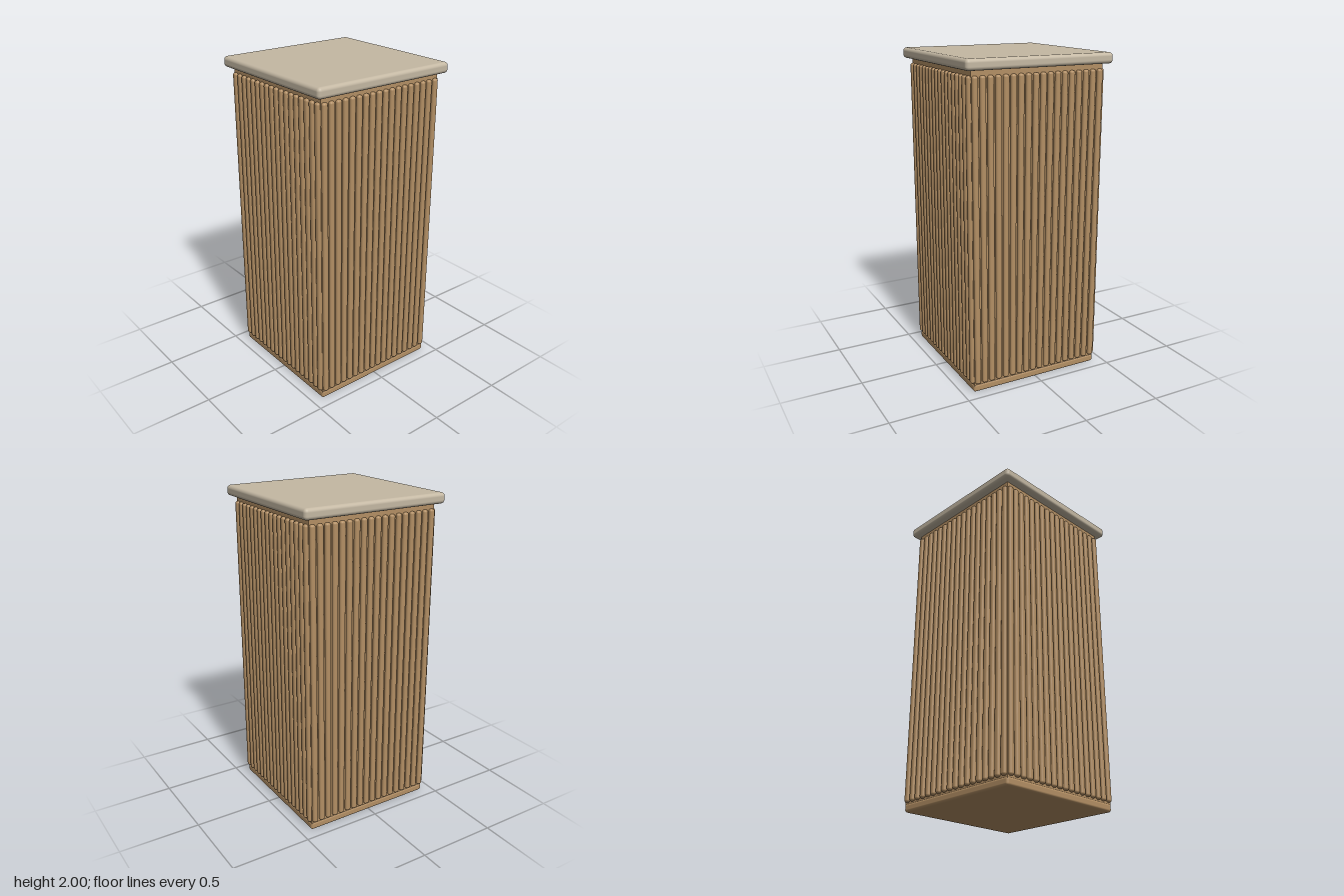
import * as THREE from 'three';
import { RoundedBoxGeometry } from 'three/addons/geometries/RoundedBoxGeometry.js';

export function createModel() {
  const model = new THREE.Group();
  model.name = 'flutedPedestal';

  const wood = new THREE.MeshStandardMaterial({ color: 0xb38f64 });
  wood.name = 'oak wood';
  const stone = new THREE.MeshStandardMaterial({ color: 0xc4b8a3 });
  stone.name = 'pale stone';

  const add = (parent, name, geometry, material, x, y, z) => {
    const mesh = new THREE.Mesh(geometry, material);
    mesh.name = name;
    mesh.position.set(x, y, z);
    parent.add(mesh);
    return mesh;
  };

  // Square slab from y0 to y1 with softened edges
  const slab = (name, width, y0, y1, radius, material) =>
    add(model, name, new RoundedBoxGeometry(width, y1 - y0, width, 4, radius),
      material, 0, (y0 + y1) / 2, 0);

  slab('plinth', 0.864, 0, 0.05, 0.015, wood);
  slab('topSlab', 0.95, 1.935, 2, 0.022, stone);

  // Inner box that carries the slats and shows as a neck under the slab
  add(model, 'core', new THREE.BoxGeometry(0.855, 1.9, 0.855), wood, 0, 0.99, 0);

  // Row of rounded upright slats on each of the four sides
  const count = 18, pitch = 0.0478;
  const slatGeometry = new RoundedBoxGeometry(0.036, 1.85, 0.036, 3, 0.014);
  for (let side = 0; side < 4; side++) {
    const row = new THREE.Group();
    row.name = 'slatRow' + (side + 1);
    row.rotation.y = side * Math.PI / 2;
    for (let i = 0; i < count; i++) {
      add(row, 'slat', slatGeometry, wood, (i - (count - 1) / 2) * pitch, 0.98, 0.429);
    }
    model.add(row);
  }

  return model;
}
